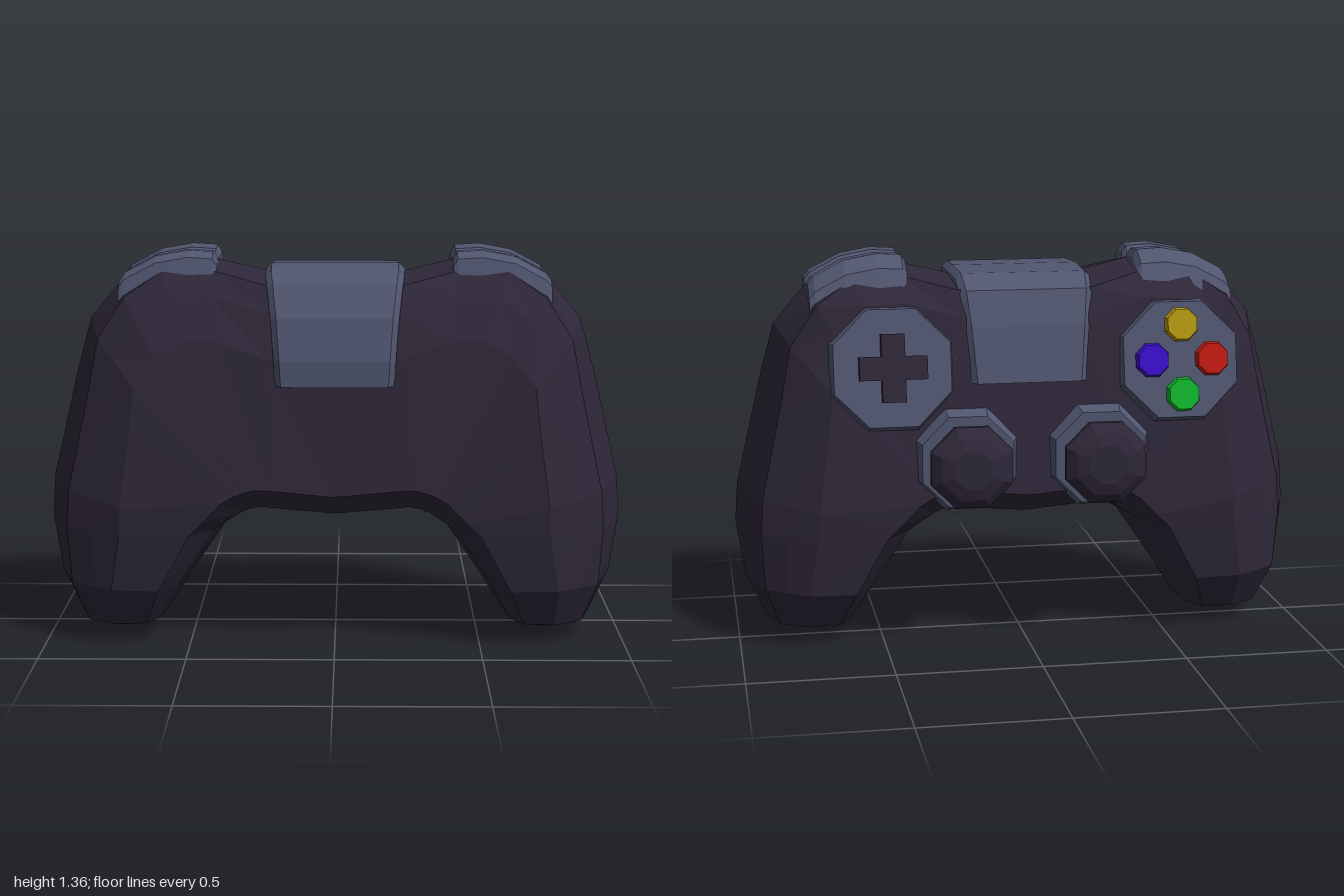
import * as THREE from 'three';

const mat = (color) => new THREE.MeshStandardMaterial({ color, flatShading: true });

// Skin a series of equal-length closed rings; each end closes to an apex (default: its centre)
function loft(rings, apexA, apexB) {
  const n = rings[0].length;
  const centre = (r) => [0, 1, 2].map((k) => r.reduce((s, p) => s + p[k], 0) / n);
  const a = apexA || centre(rings[0]);
  const b = apexB || centre(rings[rings.length - 1]);
  const last = rings[rings.length - 1];
  const tris = [];
  for (let j = 0; j < n; j++) {
    const k = (j + 1) % n;
    tris.push([a, rings[0][k], rings[0][j]], [b, last[j], last[k]]);
    for (let i = 0; i < rings.length - 1; i++) {
      const p = rings[i], q = rings[i + 1];
      tris.push([p[j], p[k], q[k]], [p[j], q[k], q[j]]);
    }
  }
  // Turn all faces outward
  let volume = 0;
  for (const [p, q, r] of tris) {
    volume += new THREE.Vector3(...p).dot(new THREE.Vector3(...q).cross(new THREE.Vector3(...r)));
  }
  if (volume < 0) tris.forEach((t) => t.reverse());
  const geo = new THREE.BufferGeometry();
  geo.setAttribute('position', new THREE.Float32BufferAttribute(tris.flat(2), 3));
  geo.computeVertexNormals();
  return geo;
}

// Piecewise linear lookup in [input, output] pairs
function lookup(table, v) {
  if (v <= table[0][0]) return table[0][1];
  for (let i = 1; i < table.length; i++) {
    const [a, fa] = table[i - 1], [b, fb] = table[i];
    if (v <= b) return fa + ((fb - fa) * (v - a)) / (b - a);
  }
  return table[table.length - 1][1];
}

const RIDGE = 0.07;
const FRONT = [[0.06, 0.29], [0.22, 0.385], [0.5, 0.415], [0.9, 0.39], [1.1, 0.35], [1.25, 0.28], [1.32, 0.22]];
const BACK = [[0.06, -0.13], [0.22, -0.24], [0.5, -0.265], [0.9, -0.235], [1.2, -0.185], [1.27, -0.13], [1.32, -0.09]];

// Body: sections swept from one grip tip over the middle to the other
function bodyGeometry() {
  // inner x, y, outer x, y, rounding width and depth of the outer edge
  const stations = [
    [0.59, 0.07, 0.90, 0.06, 0.08, 0.68],
    [0.51, 0.20, 0.97, 0.21, 0.08, 0.68],
    [0.375, 0.40, 1.0, 0.41, 0.08, 0.68],
    [0.33, 0.425, 0.99, 0.55, 0.08, 0.68],
    [0.29, 0.44, 0.90, 0.93, 0.08, 0.68],
    [0.27, 0.445, 0.85, 1.11, 0.07, 0.72],
    [0.26, 0.445, 0.74, 1.24, 0.05, 0.85],
    [0.25, 0.445, 0.60, 1.31, 0.03, 0.95],
    [0.245, 0.445, 0.44, 1.32, 0.03, 0.95],
    [0.22, 0.44, 0.23, 1.27, 0.03, 1],
    [0, 0.42, 0, 1.27, 0.03, 1],
  ];
  const half = stations.map(([ix, iy, ox, oy, w, k]) => {
    const len = Math.hypot(ox - ix, oy - iy);
    const s = Math.min(1, len / 0.6);
    const at = (d, depth, table) => {
      const x = ix + ((ox - ix) * d) / len, y = iy + ((oy - iy) * d) / len;
      return [x, y, RIDGE + depth * (lookup(table, y) - RIDGE)];
    };
    const profile = [
      [0.04 * s, 0.68], [0.12 * s, 1], [len - 0.27 * s, 1],
      [len - (w + 0.09) * s, (1 + k) / 2], [len - w * s, k],
    ];
    return [
      at(0, 0, FRONT), ...profile.map(([d, q]) => at(d, q, FRONT)),
      at(len, 0, FRONT), ...profile.slice().reverse().map(([d, q]) => at(d, q, BACK)),
    ];
  });
  const mirrored = half.slice(0, -1).reverse().map((r) => r.map(([x, y, z]) => [-x, y, z]));
  return loft([...half, ...mirrored], [0.75, 0, RIDGE], [-0.75, 0, RIDGE]);
}

// Centre band wrapping from the front over the top to the back
function bandGeometry() {
  // z, y, half width
  const path = [
    [0.395, 0.91, 0.2], [0.398, 1.0, 0.205], [0.37, 1.14, 0.215], [0.315, 1.25, 0.228], [0.25, 1.29, 0.235],
    [0.07, 1.298, 0.24], [-0.1, 1.29, 0.235], [-0.175, 1.24, 0.228], [-0.215, 1.12, 0.215], [-0.245, 0.93, 0.2],
  ];
  const rings = path.map(([z, y, w]) => {
    const toCore = new THREE.Vector2(RIDGE - z, 0.95 - y).normalize();
    const put = (x, d) => [x, y + toCore.y * d, z + toCore.x * d];
    return [put(-w, 0.1), put(-w, 0.02), put(-w + 0.02, 0), put(w - 0.02, 0), put(w, 0.02), put(w, 0.1)];
  });
  return loft(rings);
}

// Shoulder button: a rounded section in z carried along the sloping top edge
function shoulderGeometry(section) {
  const spine = [[0.40, -0.03], [0.415, -0.005], [0.50, 0], [0.61, -0.02], [0.715, -0.075], [0.735, -0.1]];
  return loft(spine.map(([x, dy]) => section.map(([z, y]) => [x, y + dy, z])));
}

function createModel() {
  const model = new THREE.Group();
  const dark = mat(0x2e2739), grey = mat(0x50556f);
  const add = (parent, name, geo, material, x = 0, y = 0, z = 0) => {
    const mesh = new THREE.Mesh(geo, material);
    mesh.name = name;
    mesh.position.set(x, y, z);
    parent.add(mesh);
    return mesh;
  };
  // Group on the back whose local +y points outward and +z points up
  const mount = (name, x, y, z, tilt) => {
    const g = new THREE.Group();
    g.name = name;
    g.position.set(x, y, z);
    g.rotation.x = -Math.PI / 2 + tilt;
    model.add(g);
    return g;
  };
  const octagon = (top, bottom, h) => new THREE.CylinderGeometry(top, bottom, h, 8).rotateY(Math.PI / 8);

  add(model, 'body', bodyGeometry(), dark);
  add(model, 'centreBand', bandGeometry(), grey);

  // Shoulder buttons, mirrored
  const bumper = [[0.25, 1.2], [0.25, 1.27], [0.235, 1.33], [0.2, 1.352], [0.13, 1.35], [0.11, 1.32], [0.11, 1.2]];
  const trigger = [[0.09, 1.2], [0.09, 1.32], [0.06, 1.35], [-0.04, 1.357], [-0.11, 1.315], [-0.137, 1.25], [-0.137, 1.2]];
  for (const [name, section] of [['Bumper', bumper], ['Trigger', trigger]]) {
    const points = shoulderGeometry(section);
    add(model, 'left' + name, points, grey);
    const mirror = points.clone().rotateY(Math.PI);
    // Half turn plus a z flip gives the mirrored side; swap corners to keep faces outward
    const p = mirror.attributes.position;
    for (let i = 0; i < p.count; i += 3) {
      const c = [0, 1, 2].map((k) => [p.getX(i + k), p.getY(i + k), -p.getZ(i + k)]);
      [c[0], c[2], c[1]].forEach((v, k) => p.setXYZ(i + k, ...v));
    }
    mirror.computeVertexNormals();
    add(model, 'right' + name, mirror, grey);
  }

  // Direction pad
  const pad = mount('directionPad', 0.47, 0.995, -0.248, 0.19);
  add(pad, 'padPlate', octagon(0.215, 0.23, 0.06), grey, 0, -0.03);
  const a = 0.04, b = 0.115;
  const cross = new THREE.Shape([
    [a, b], [a, a], [b, a], [b, -a], [a, -a], [a, -b], [-a, -b], [-a, -a], [-b, -a], [-b, a], [-a, a], [-a, b],
  ].map((q) => new THREE.Vector2(...q)));
  const crossGeo = new THREE.ExtrudeGeometry(cross, { depth: 0.04, bevelEnabled: false }).rotateX(-Math.PI / 2);
  add(pad, 'padCross', crossGeo, dark, 0, -0.005);

  // Four coloured buttons
  const face = mount('faceButtons', -0.525, 0.995, -0.248, 0.19);
  add(face, 'buttonPlate', octagon(0.215, 0.23, 0.06), grey, 0, -0.03);
  const buttons = [
    ['redButton', 0xc01a12, -0.11, 0], ['blueButton', 0x3a0fc8, 0.1, 0],
    ['yellowButton', 0xb3950f, -0.005, 0.12], ['greenButton', 0x10b32c, -0.005, -0.12],
  ];
  for (const [name, color, x, z] of buttons) {
    add(face, name, octagon(0.055, 0.064, 0.03), mat(color), x, 0.01, z);
  }

  // Thumb sticks
  for (const [name, x] of [['leftStick', 0.22], ['rightStick', -0.24]]) {
    const stick = mount(name, x, 0.67, -0.285, 0);
    add(stick, 'stickBase', octagon(0.17, 0.19, 0.05), grey, 0, -0.025);
    add(stick, 'stickStem', octagon(0.028, 0.028, 0.08), dark, 0, 0.03);
    const cap = [[0, 0.05], [0.135, 0.05], [0.15, 0.065], [0.15, 0.085], [0.115, 0.115], [0.07, 0.13], [0, 0.13]];
    const capGeo = new THREE.LatheGeometry(cap.map((q) => new THREE.Vector2(...q)), 8).rotateY(Math.PI / 8);
    add(stick, 'stickCap', capGeo, dark);
  }
  return model;
}

export { createModel };
